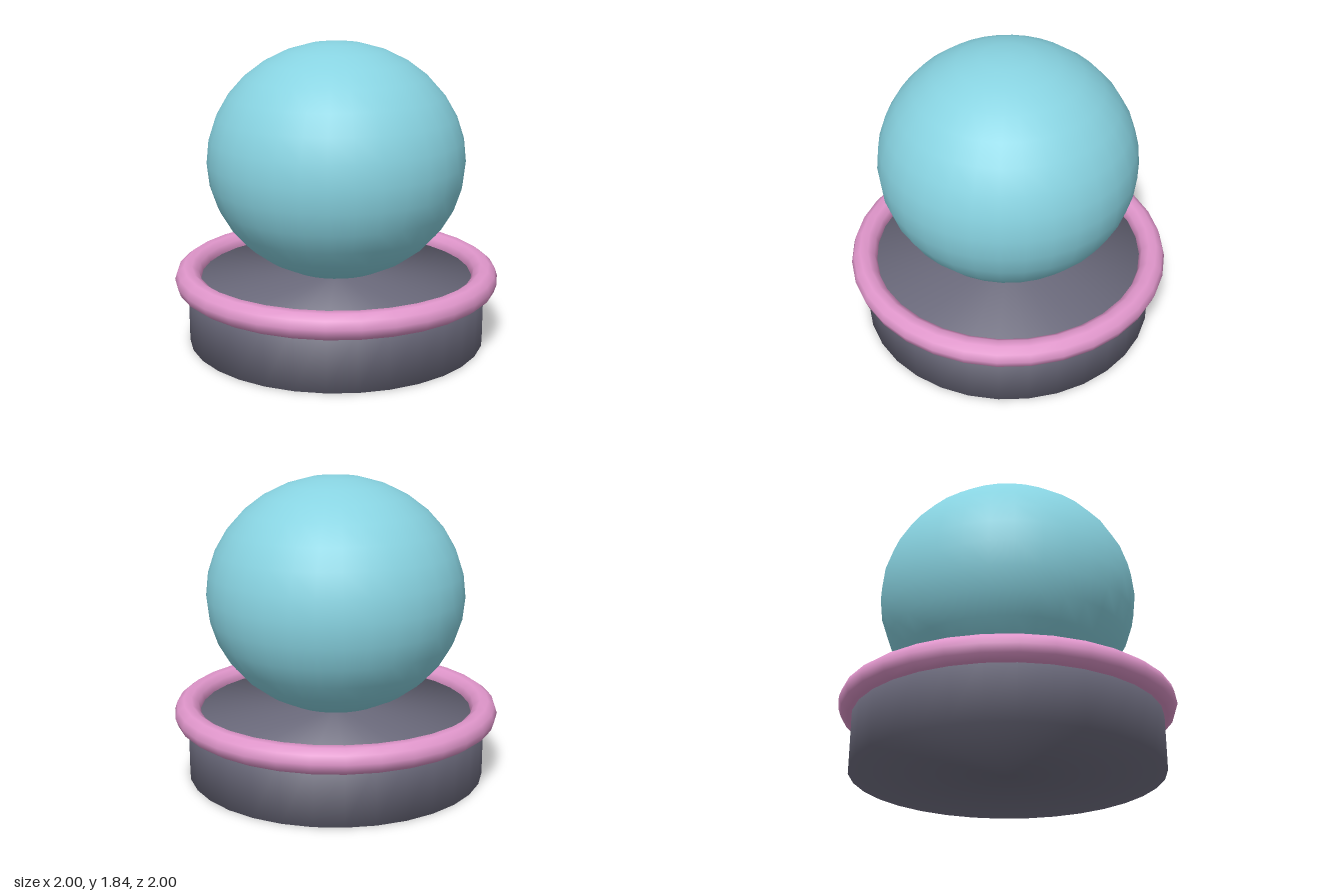
import * as THREE from 'three';

const BASE_RADIUS = 0.92;
const BASE_HEIGHT = 0.4;

function material(name, color) {
  const m = new THREE.MeshStandardMaterial({ color });
  m.name = name;
  return m;
}

// Capped cylinder whose rim normals blend softly between wall and caps
function softCylinder(radius, height, segments) {
  const geometry = new THREE.CylinderGeometry(radius, radius, height, segments);
  const { position, normal } = geometry.attributes;
  const n = new THREE.Vector3();
  for (let i = 0; i < position.count; i++) {
    n.fromBufferAttribute(position, i);
    n.set(1.5 * n.x / radius, Math.sign(n.y), 1.5 * n.z / radius).normalize();
    normal.setXYZ(i, n.x, n.y, n.z);
  }
  return geometry;
}

export function createModel() {
  const model = new THREE.Group();
  model.name = 'ballOnStand';

  const add = (name, geometry, mat, y) => {
    const mesh = new THREE.Mesh(geometry, mat);
    mesh.name = name;
    mesh.position.y = y;
    model.add(mesh);
    return mesh;
  };

  // Round plinth standing on the ground
  add('base', softCylinder(BASE_RADIUS, BASE_HEIGHT, 32), material('slate grey', 0x6d6c7e), BASE_HEIGHT / 2);

  // Ring around the top edge of the base
  const ring = new THREE.TorusGeometry(BASE_RADIUS, 0.08, 10, 32).rotateX(-Math.PI / 2);
  add('rimRing', ring, material('pink', 0xe096cb), BASE_HEIGHT);

  // Slightly flattened ball resting on the base
  const ball = new THREE.SphereGeometry(0.787, 32, 16).scale(1, 0.72 / 0.787, 1);
  add('ball', ball, material('aqua blue', 0x88d3e1), BASE_HEIGHT + 0.722);

  return model;
}
